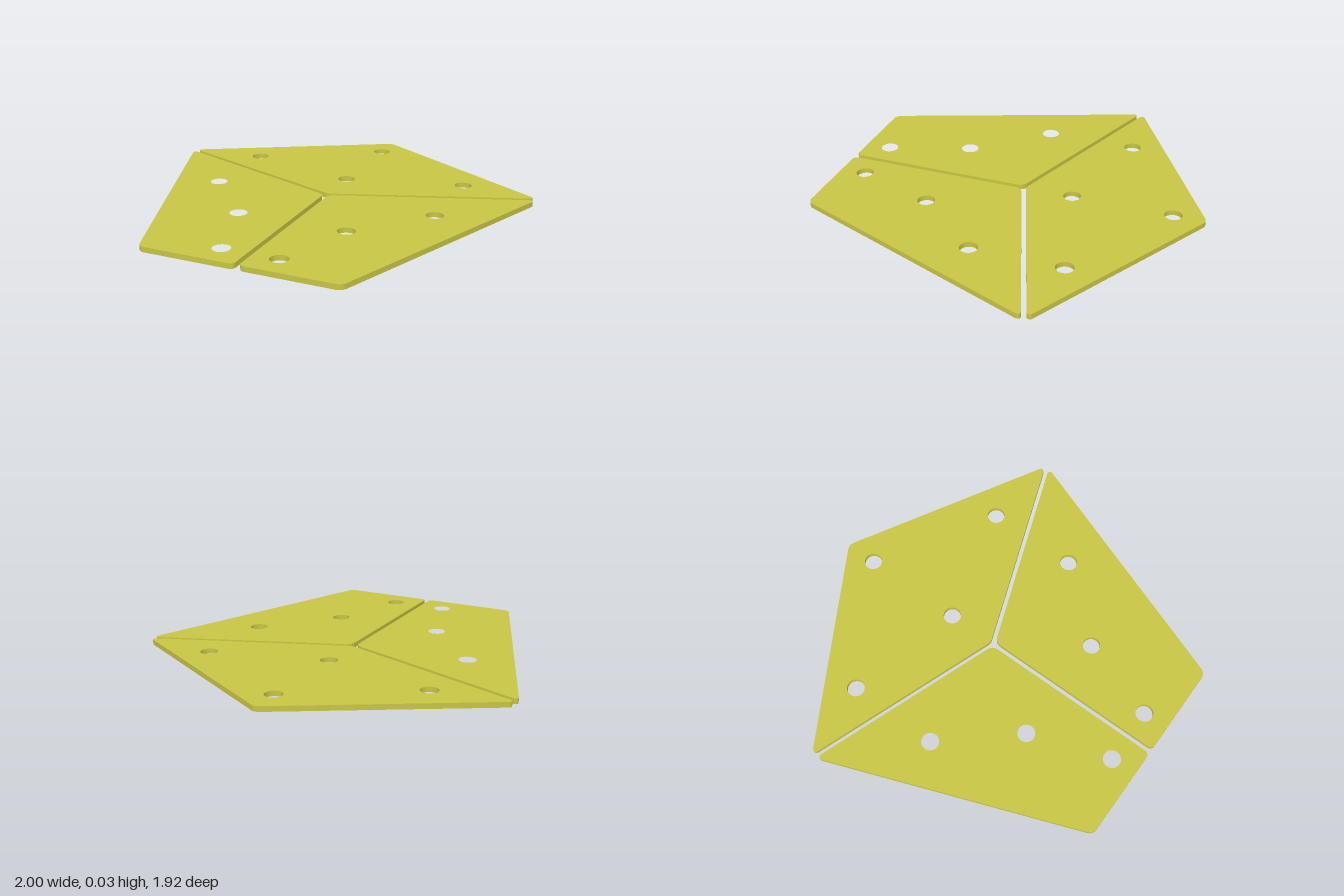
import * as THREE from 'three';
import { toCreasedNormals } from 'three/addons/utils/BufferGeometryUtils.js';

const THICKNESS = 0.027;
const HOLE_RADIUS = 0.045;

// Outline through [x, z, cornerRadius] corners, each rounded by a circular arc
function roundedOutline(corners) {
  const points = [];
  const n = corners.length;
  corners.forEach(([x, z, r], i) => {
    const p = new THREE.Vector2(x, z);
    const a = new THREE.Vector2(...corners[(i + n - 1) % n].slice(0, 2)).sub(p).normalize();
    const b = new THREE.Vector2(...corners[(i + 1) % n].slice(0, 2)).sub(p).normalize();
    const half = Math.acos(a.dot(b)) / 2;
    const centre = a.clone().add(b).normalize().multiplyScalar(r / Math.sin(half)).add(p);
    const reach = r / Math.tan(half);
    const start = a.multiplyScalar(reach).add(p).sub(centre).angle();
    const end = b.multiplyScalar(reach).add(p).sub(centre).angle();
    const sweep = Math.atan2(Math.sin(end - start), Math.cos(end - start));
    for (let k = 0; k <= 8; k++) {
      const t = start + (sweep * k) / 8;
      points.push(new THREE.Vector2(centre.x + r * Math.cos(t), centre.y + r * Math.sin(t)));
    }
  });
  return points;
}

// Flat plate with round through-holes, lying on y = 0
function plate(name, corners, holes, material) {
  const shape = new THREE.Shape(roundedOutline(corners));
  for (const [x, z] of holes) {
    shape.holes.push(new THREE.Path().absarc(x, z, HOLE_RADIUS, 0, Math.PI * 2, true));
  }
  const geometry = new THREE.ExtrudeGeometry(shape, {
    depth: THICKNESS, bevelEnabled: false, curveSegments: 20,
  });
  geometry.rotateX(Math.PI / 2).translate(0, THICKNESS, 0);
  const mesh = new THREE.Mesh(toCreasedNormals(geometry, 0.6), material);
  mesh.name = name;
  return mesh;
}

export function createModel() {
  const group = new THREE.Group();
  group.name = 'pentagonPlates';
  const material = new THREE.MeshStandardMaterial({ color: 0xc8c544 });

  // Rear kite-shaped plate
  group.add(plate('rearPlate',
    [[0, -0.967, 0.045], [1.007, -0.391, 0.015], [0, -0.025, 0.045], [-1.007, -0.391, 0.015]],
    [[0, -0.8], [0.606, -0.433], [0, -0.275], [-0.606, -0.433]], material));

  // Mirrored pair of front plates
  const corners = [[1.01, -0.368, 0.015], [0.506, 0.96, 0.045], [0.013, 0.96, 0.025], [0.013, -0.005, 0.045]];
  const holes = [[0.607, 0.043], [0.29, 0.406], [0.147, 0.826]];
  for (const [name, s] of [['leftPlate', 1], ['rightPlate', -1]]) {
    group.add(plate(name, corners.map(([x, z, r]) => [s * x, z, r]),
      holes.map(([x, z]) => [s * x, z]), material));
  }
  return group;
}
